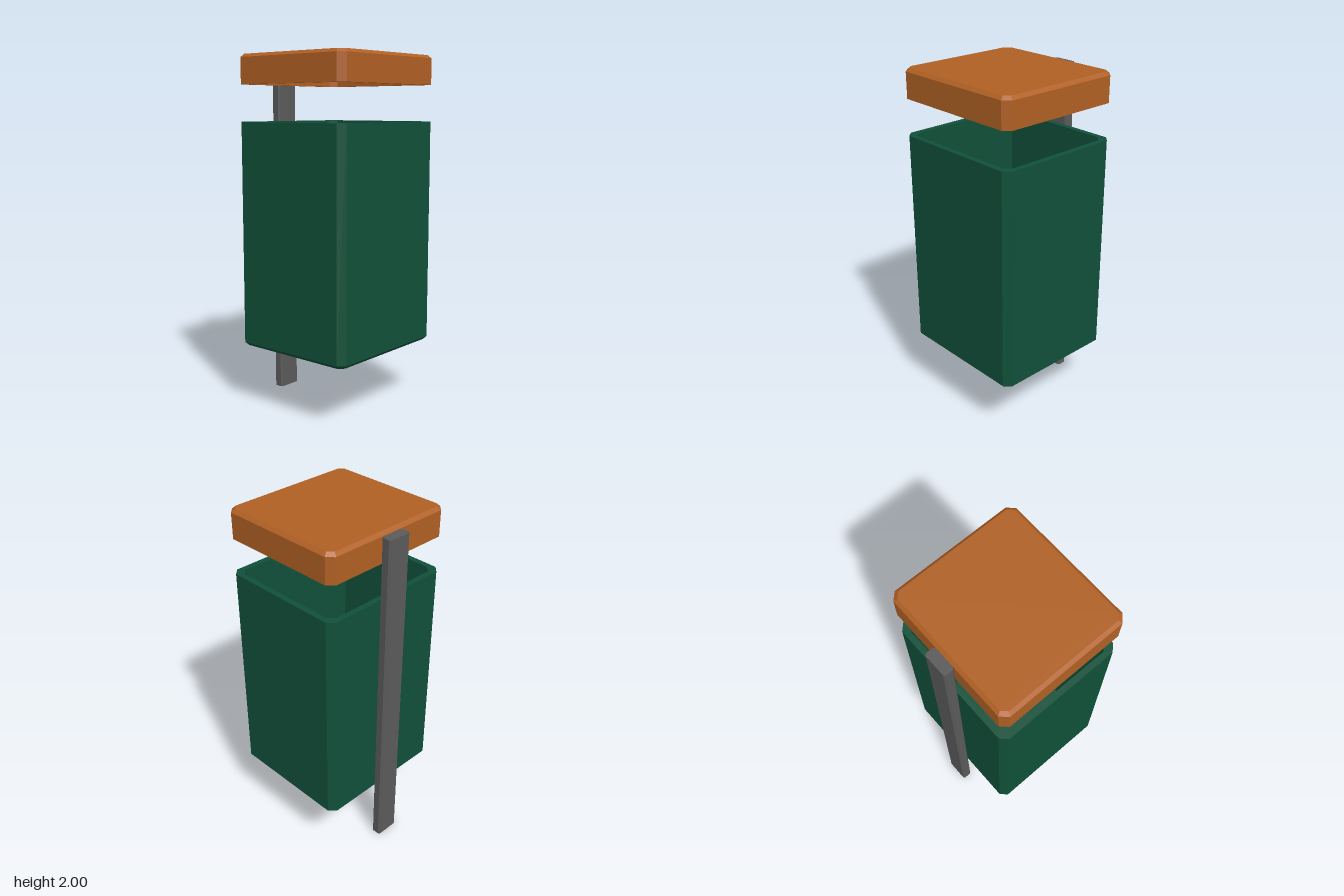
import * as THREE from 'three';

const green = new THREE.MeshStandardMaterial({ name: 'dark green', color: 0x105039 });
const orange = new THREE.MeshStandardMaterial({ name: 'burnt orange', color: 0xb06024 });
const grey = new THREE.MeshStandardMaterial({ name: 'post grey', color: 0x5a5a5a });

// Rectangle with cut corners, counter-clockwise seen from above
function ring(w, d, cut, y) {
  const a = w - cut, b = d - cut;
  return [[w, -b], [w, b], [a, d], [-a, d], [-w, b], [-w, -b], [-a, -d], [a, -d]]
    .map(([x, v]) => [x, y, -v]);
}

// Joins rings with flat faces; the first ring is capped downwards, the last upwards
function loft(rings) {
  const pos = [];
  const tri = (...corners) => corners.forEach((p) => pos.push(...p));
  for (let r = 0; r < rings.length - 1; r++) {
    const lo = rings[r], hi = rings[r + 1];
    for (let i = 0; i < 8; i++) {
      const j = (i + 1) % 8;
      tri(lo[i], lo[j], hi[j]);
      tri(lo[i], hi[j], hi[i]);
    }
  }
  const first = rings[0], last = rings[rings.length - 1];
  for (let i = 1; i < 7; i++) {
    tri(first[0], first[i + 1], first[i]);
    tri(last[0], last[i], last[i + 1]);
  }
  const geo = new THREE.BufferGeometry();
  geo.setAttribute('position', new THREE.Float32BufferAttribute(pos, 3));
  geo.computeVertexNormals();
  return geo;
}

function part(name, material, x, rings) {
  const mesh = new THREE.Mesh(loft(rings), material);
  mesh.name = name;
  mesh.position.x = x;
  return mesh;
}

export function createModel() {
  const group = new THREE.Group();
  group.name = 'litterBin';
  const W = 0.382, D = 0.41, CUT = 0.037, WALL = 0.033, X = 0.029;

  // Open container with a bevelled base
  group.add(part('container', green, X, [
    ring(W - 0.02, D - 0.02, 0.03, 0.35),
    ring(W, D, CUT, 0.37),
    ring(W, D, CUT, 1.63),
    ring(W - WALL, D - WALL, CUT, 1.63),
    ring(W - WALL, D - WALL, CUT, 0.39),
  ]));

  // Hollow lid with a bevelled top
  group.add(part('lid', orange, X, [
    ring(W - WALL, D - WALL, CUT, 1.97),
    ring(W - WALL, D - WALL, CUT, 1.835),
    ring(W, D, CUT, 1.835),
    ring(W, D, CUT, 1.982),
    ring(W - 0.019, D - 0.019, 0.029, 2),
  ]));

  // Support post behind the container and lid
  group.add(part('post', grey, -0.383, [
    ring(0.03, 0.072, 0.01, 0),
    ring(0.03, 0.072, 0.01, 1.98),
  ]));
  return group;
}
